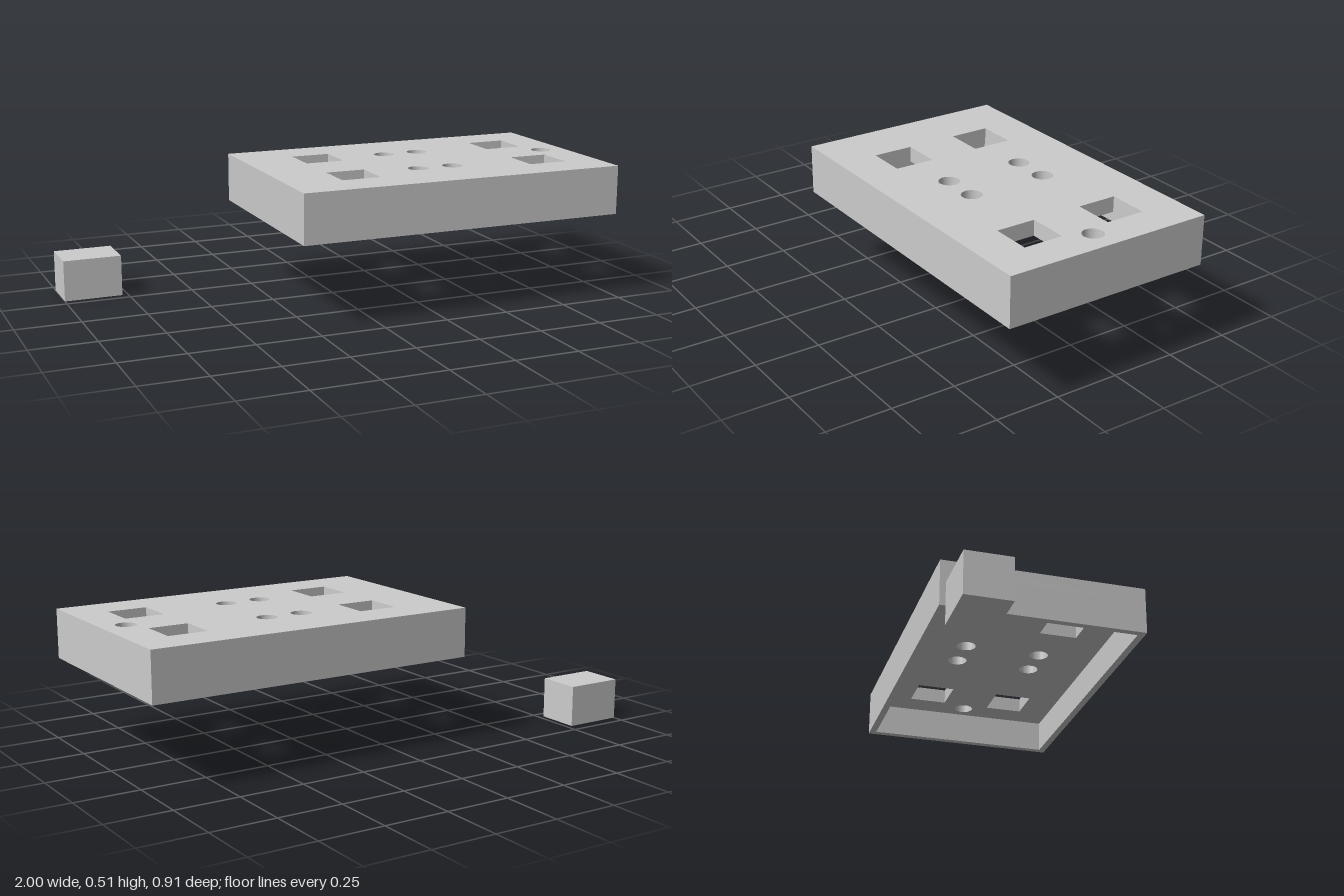
import * as THREE from 'three';

const MIN_X = -0.3, MAX_X = 1, MIN_Z = -0.364, MAX_Z = 0.455;
const MID_Z = (MIN_Z + MAX_Z) / 2;
const BOTTOM = 0.325, TOP = 0.515, PLATE = 0.06, WALL = 0.028;

// Counter-clockwise rectangle on the ground plan; shape y is -z
function rectangle(target, x0, x1, z0, z1) {
  target.moveTo(x0, -z1);
  target.lineTo(x1, -z1);
  target.lineTo(x1, -z0);
  target.lineTo(x0, -z0);
  target.closePath();
  return target;
}

// Extrude a ground plan upwards from a given height
function slab(name, shape, y, height, material) {
  const geometry = new THREE.ExtrudeGeometry(shape, { depth: height, bevelEnabled: false, curveSegments: 32 });
  geometry.rotateX(-Math.PI / 2);
  geometry.translate(0, y, 0);
  const mesh = new THREE.Mesh(geometry, material);
  mesh.name = name;
  return mesh;
}

export function createModel() {
  const grey = new THREE.MeshStandardMaterial({ color: 0xcccccc });
  grey.name = 'lightGrey';
  const model = new THREE.Group();
  model.name = 'enclosure';

  const cover = new THREE.Group();
  cover.name = 'cover';
  model.add(cover);

  // Top plate with square windows and round holes
  const plate = rectangle(new THREE.Shape(), MIN_X, MAX_X, MIN_Z, MAX_Z);
  const half = 0.077;
  const round = [[0.902, MID_Z]];
  for (const side of [-1, 1]) {
    const z = MID_Z + side * 0.175;
    for (const x of [-0.008, 0.783]) {
      plate.holes.push(rectangle(new THREE.Path(), x - half, x + half, z - half, z + half));
    }
    for (const x of [0.27, 0.415]) round.push([x, MID_Z + side * 0.156]);
  }
  for (const [x, z] of round) {
    plate.holes.push(new THREE.Path().absarc(x, -z, 0.039, 0, Math.PI * 2, true));
  }
  cover.add(slab('topPlate', plate, TOP - PLATE, PLATE, grey));

  // Thin wall around the open underside
  const wall = rectangle(new THREE.Shape(), MIN_X, MAX_X, MIN_Z, MAX_Z);
  wall.holes.push(rectangle(new THREE.Path(), MIN_X + WALL, MAX_X - WALL, MIN_Z + WALL, MAX_Z - WALL));
  cover.add(slab('sideWall', wall, BOTTOM, TOP - PLATE - BOTTOM, grey));

  // Separate solid block
  const block = new THREE.Mesh(new THREE.BoxGeometry(0.227, 0.16, 0.17), grey);
  block.name = 'block';
  block.position.set(-0.8865, 0.08, -0.37);
  model.add(block);

  return model;
}
